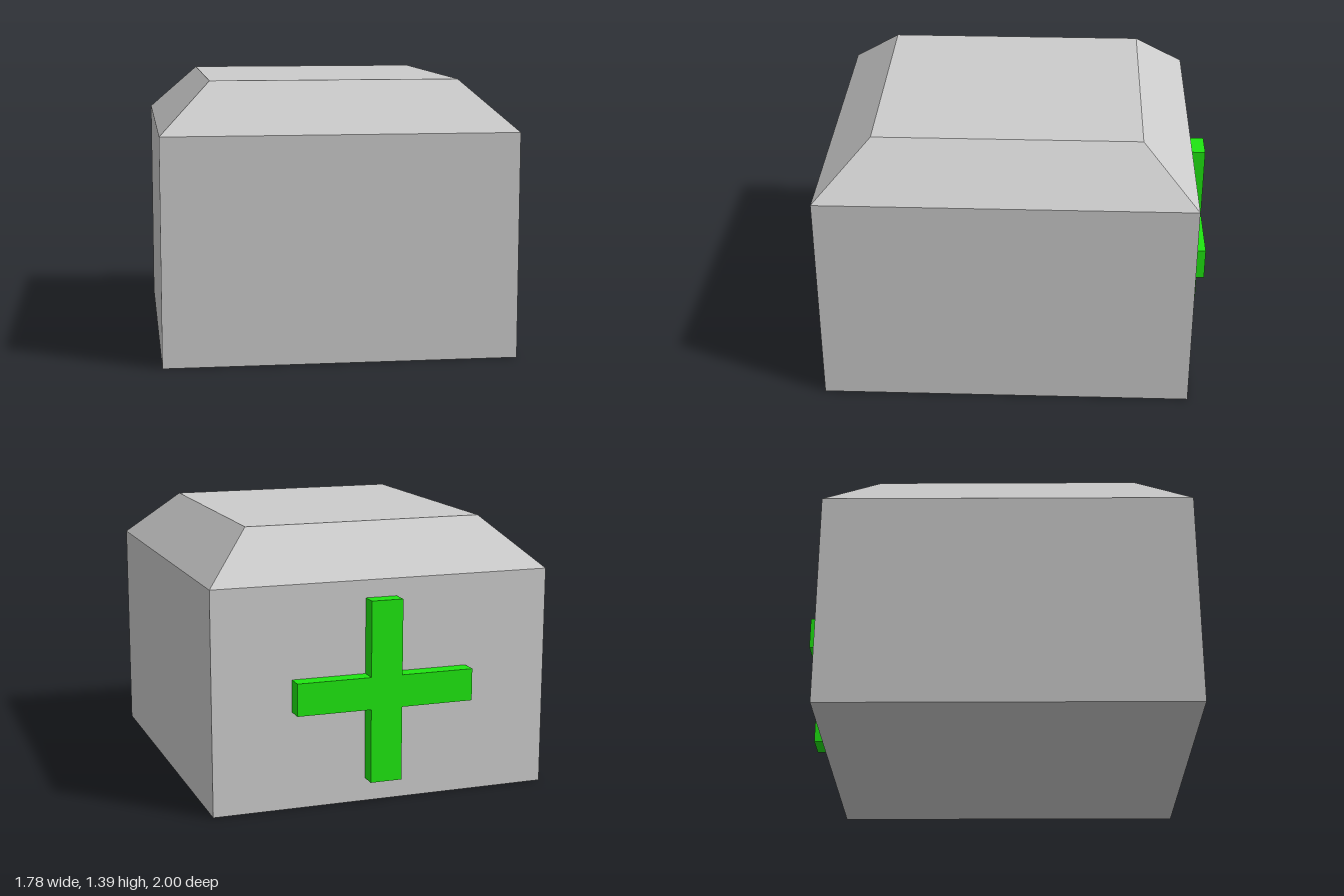
import * as THREE from 'three';

// Box spanning two corner points
function boxBetween([x0, y0, z0], [x1, y1, z1]) {
  return new THREE.BoxGeometry(x1 - x0, y1 - y0, z1 - z0)
    .translate((x0 + x1) / 2, (y0 + y1) / 2, (z0 + z1) / 2);
}

export function createModel() {
  const model = new THREE.Group();
  const grey = new THREE.MeshStandardMaterial({ color: 0xcccccc, flatShading: true });
  const green = new THREE.MeshStandardMaterial({ color: 0x1fe611, flatShading: true });

  const add = (name, geometry, material) => {
    const mesh = new THREE.Mesh(geometry, material);
    mesh.name = name;
    model.add(mesh);
  };

  // Body: a box whose upper ring of vertices is the shoulder and whose top is drawn in
  const bodyShape = boxBetween([-0.89, 0, -0.915], [0.89, 1.39, 1]);
  const split = new THREE.BoxGeometry(1, 1, 1, 1, 2, 1);
  const pos = split.attributes.position;
  bodyShape.computeBoundingBox();
  const { min, max } = bodyShape.boundingBox;
  for (let i = 0; i < pos.count; i++) {
    const level = Math.round((pos.getY(i) + 0.5) * 2); // 0 base, 1 shoulder, 2 top
    const inX = level === 2 ? 0.26 : 0;
    const inZ = level === 2 ? 0.277 : 0;
    pos.setXYZ(i,
      pos.getX(i) < 0 ? min.x + inX : max.x - inX,
      [0, 1.14, 1.39][level],
      pos.getZ(i) < 0 ? min.z + inZ : max.z - inZ);
  }
  split.computeVertexNormals();
  add('body', split, grey);

  // Raised plus-shaped emblem on the back, extruded from one outline
  const [xa, xb, xc, xd] = [-0.45, -0.07, 0.095, 0.48];
  const [ya, yb, yc, yd] = [0.12, 0.5, 0.665, 1.05];
  const outline = [
    [xb, ya], [xc, ya], [xc, yb], [xd, yb], [xd, yc], [xc, yc],
    [xc, yd], [xb, yd], [xb, yc], [xa, yc], [xa, yb], [xb, yb],
  ].map(([x, y]) => new THREE.Vector2(x, y));
  const plus = new THREE.ExtrudeGeometry(new THREE.Shape(outline), { depth: 0.085, bevelEnabled: false });
  add('backCross', plus.translate(0, 0, -1), green);

  return model;
}
